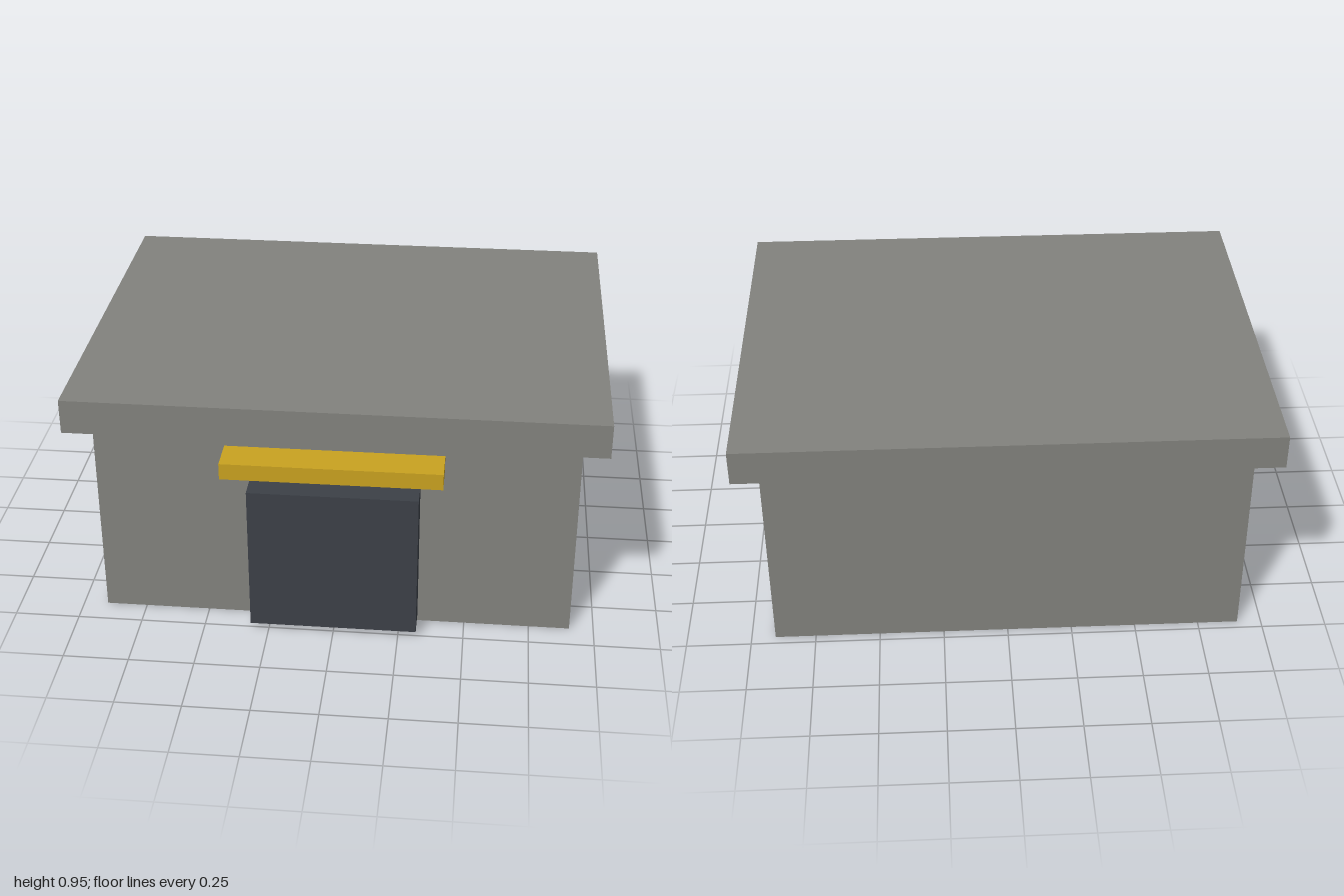
import * as THREE from 'three';

function material(name, color) {
  const m = new THREE.MeshStandardMaterial({ color });
  m.name = name;
  return m;
}

// Box given by its extents: [min, max] on each axis
function block(name, mat, [x0, x1], [y0, y1], [z0, z1]) {
  const mesh = new THREE.Mesh(new THREE.BoxGeometry(x1 - x0, y1 - y0, z1 - z0), mat);
  mesh.name = name;
  mesh.position.set((x0 + x1) / 2, (y0 + y1) / 2, (z0 + z1) / 2);
  return mesh;
}

export function createModel() {
  const concrete = material('concrete grey', 0x82827e);
  const steel = material('dark steel', 0x3c4047);
  const yellow = material('sign yellow', 0xc9a220);

  const group = new THREE.Group();
  group.name = 'bunker';
  group.add(
    // main building and overhanging roof slab
    block('walls', concrete, [-0.907, 0.907], [0, 0.822], [-0.715, 0.649]),
    block('roof', concrete, [-1, 1], [0.822, 0.955], [-0.806, 0.739]),
    // thick door standing proud of the front wall
    block('door', steel, [-0.319, 0.319], [0.027, 0.617], [0.64, 0.764]),
    // bar held just clear of the wall above the door
    block('lintelBar', yellow, [-0.408, 0.408], [0.698, 0.762], [0.674, 0.808]),
  );
  return group;
}
